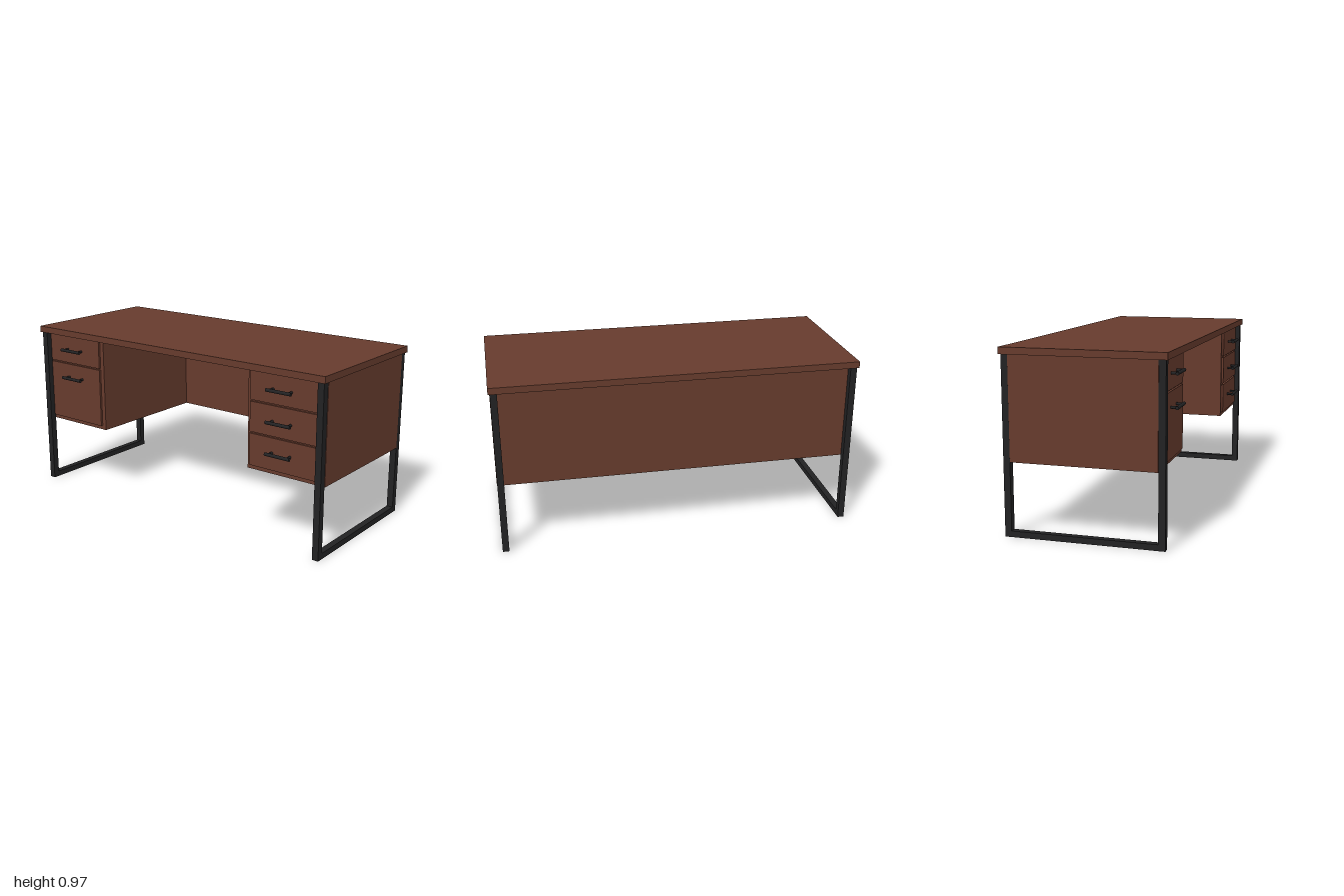
import * as THREE from 'three';

export function createModel() {
  const desk = new THREE.Group();
  desk.name = 'desk';
  const wood = new THREE.MeshStandardMaterial({ color: 0x663b2d });
  wood.name = 'walnut wood';
  const metal = new THREE.MeshStandardMaterial({ color: 0x222223 });
  metal.name = 'black metal';

  // Box given by its min and max on each axis
  function box(name, mat, [x0, x1], [y0, y1], [z0, z1], parent = desk) {
    const mesh = new THREE.Mesh(new THREE.BoxGeometry(x1 - x0, y1 - y0, z1 - z0), mat);
    mesh.position.set((x0 + x1) / 2, (y0 + y1) / 2, (z0 + z1) / 2);
    mesh.name = name;
    parent.add(mesh);
    return mesh;
  }

  // Bar pull on two short posts
  function handle(x, y, parent) {
    const pull = new THREE.Group();
    pull.name = 'handle';
    const bar = new THREE.Mesh(new THREE.CylinderGeometry(0.009, 0.009, 0.15, 16), metal);
    bar.rotation.z = Math.PI / 2;
    bar.name = 'handleBar';
    pull.add(bar);
    for (const s of [-1, 1]) {
      const post = new THREE.Mesh(new THREE.CylinderGeometry(0.007, 0.007, 0.036, 12), metal);
      post.rotation.x = Math.PI / 2;
      post.position.set(s * 0.055, 0, -0.018);
      post.name = 'handlePost';
      pull.add(post);
    }
    pull.position.set(x, y, 0.426);
    parent.add(pull);
  }

  // Top and full-width back panel
  box('top', wood, [-1, 1], [0.932, 0.968], [-0.433, 0.425]);
  box('backPanel', wood, [-0.955, 0.955], [0.39, 0.932], [-0.388, -0.37]);

  // Rectangular leg frames, one extruded ring per side
  const ring = new THREE.Shape();
  ring.moveTo(-0.415, 0).lineTo(0.424, 0).lineTo(0.424, 0.932).lineTo(-0.415, 0.932).closePath();
  const opening = new THREE.Path();
  opening.moveTo(-0.379, 0.032).lineTo(-0.379, 0.905).lineTo(0.389, 0.905).lineTo(0.389, 0.032).closePath();
  ring.holes.push(opening);
  for (const s of [-1, 1]) {
    const frame = new THREE.Mesh(
      new THREE.ExtrudeGeometry(ring, { depth: 0.036, bevelEnabled: false }), metal);
    frame.rotation.y = Math.PI / 2;
    frame.position.x = s * 0.972 - 0.018;
    frame.name = s > 0 ? 'leftLegFrame' : 'rightLegFrame';
    desk.add(frame);
    // Outer panel filling the upper part of the frame, covering its top rail
    const edge = [s * 0.95, s * 0.992].sort((a, b) => a - b);
    box('sidePanel', wood, edge, [0.39, 0.932], [-0.388, 0.378]);
  }

  // Drawer pedestals: carcass, drawer fronts [bottom, top] and handle heights
  const pedestals = [
    { name: 'rightPedestal', body: [-0.953, -0.52], front: [-0.947, -0.546], handleX: -0.745,
      drawers: [[0.413, 0.754, 0.675], [0.763, 0.926, 0.845]] },
    { name: 'leftPedestal', body: [0.52, 0.953], front: [0.538, 0.945], handleX: 0.735,
      drawers: [[0.413, 0.588, 0.508], [0.597, 0.76, 0.677], [0.769, 0.926, 0.847]] },
  ];
  for (const p of pedestals) {
    const group = new THREE.Group();
    group.name = p.name;
    box('carcass', wood, p.body, [0.39, 0.932], [-0.388, 0.378], group);
    for (const [y0, y1, hy] of p.drawers) {
      box('drawerFront', wood, p.front, [y0, y1], [0.37, 0.39], group);
      handle(p.handleX, hy, group);
    }
    desk.add(group);
  }
  return desk;
}
